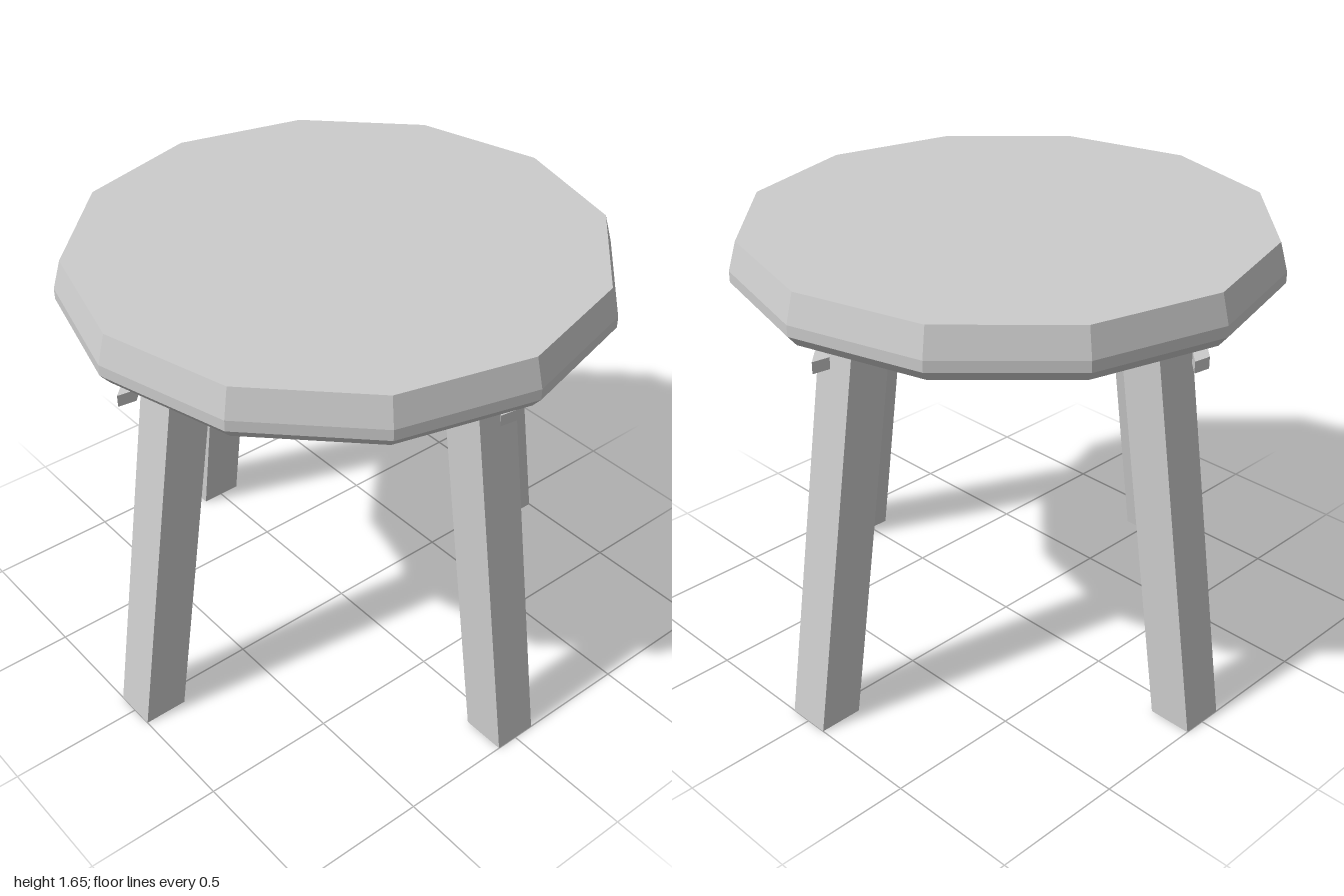
import * as THREE from 'three';

const material = new THREE.MeshStandardMaterial({ color: 0xcccccc, flatShading: true });

function addPart(group, name, geometry) {
  const mesh = new THREE.Mesh(geometry, material);
  mesh.name = name;
  group.add(mesh);
  return mesh;
}

// Square leg with level ends, leaning inwards as it rises
function legGeometry(height, width, footCentre, topCentre) {
  const geometry = new THREE.BoxGeometry(width, height, width);
  geometry.translate(0, height / 2, 0);
  const p = geometry.attributes.position;
  for (let i = 0; i < p.count; i++) {
    const t = p.getY(i) / height;
    p.setZ(i, p.getZ(i) + THREE.MathUtils.lerp(footCentre, topCentre, t));
  }
  geometry.computeVertexNormals();
  return geometry;
}

// Thin diagonal rail with slanted ends, drawn from above as (x, -z)
function railGeometry(thickness) {
  const shape = new THREE.Shape([
    [0.84, 0.037], [0.025, 0.86], [0.015, 0.796], [0.83, -0.027],
  ].map(([x, y]) => new THREE.Vector2(x, y)));
  const geometry = new THREE.ExtrudeGeometry(shape, { depth: thickness, bevelEnabled: false });
  return geometry.rotateX(-Math.PI / 2);
}

export function createModel() {
  const stool = new THREE.Group();
  stool.name = 'stool';

  // Twelve-sided seat with a chamfered underside and tapered rim
  const profile = [
    [0, 1.47], [0.942, 1.47], [0.976, 1.51], [0.976, 1.55], [0.947, 1.655], [0, 1.655],
  ].map(([r, y]) => new THREE.Vector2(r, y));
  const seat = addPart(stool, 'seat', new THREE.LatheGeometry(profile, 12));
  seat.position.z = 0.01;

  // Four splayed legs
  const leg = legGeometry(1.5, 0.165, 0.9175, 0.685);
  ['frontLeg', 'leftLeg', 'backLeg', 'rightLeg'].forEach((name, i) => {
    addPart(stool, name, leg).rotation.y = i * Math.PI / 2;
  });

  // Two parallel rails, each joining a pair of neighbouring legs
  const rail = railGeometry(0.043);
  addPart(stool, 'backRail', rail).position.set(0, 1.333, 0);
  addPart(stool, 'frontRail', rail).position.set(-0.87, 1.333, 0.883);

  return stool;
}
